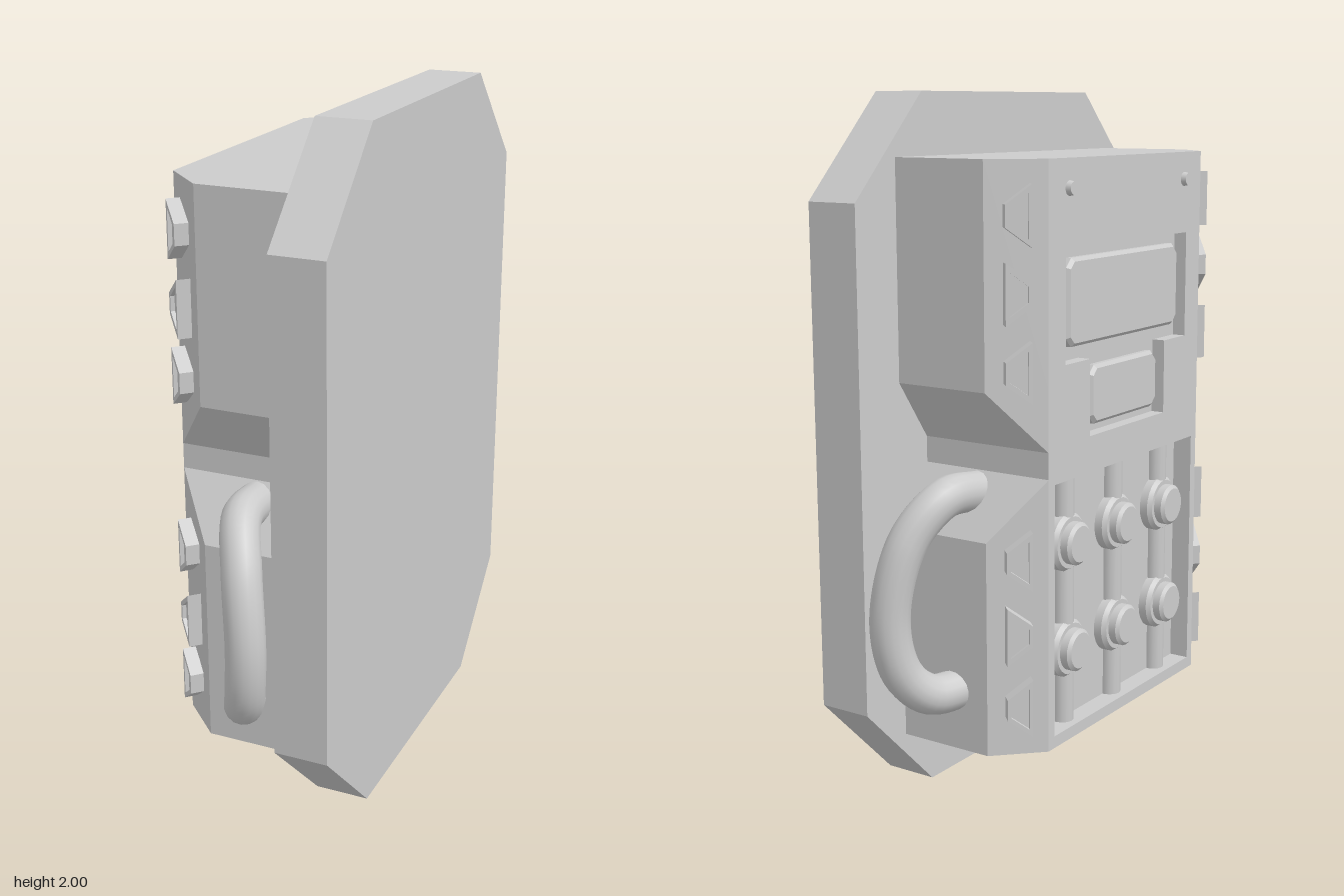
import * as THREE from 'three';
import { toCreasedNormals } from 'three/addons/utils/BufferGeometryUtils.js';

const grey = new THREE.MeshStandardMaterial({ color: 0xcccccc });
const greyFlat = new THREE.MeshStandardMaterial({ color: 0xcccccc, flatShading: true });

function add(parent, name, geometry, x = 0, y = 0, z = 0, material = grey) {
  const mesh = new THREE.Mesh(geometry, material);
  mesh.name = name;
  mesh.position.set(x, y, z);
  parent.add(mesh);
  return mesh;
}

const outline = (pts) => pts.map(([x, y]) => new THREE.Vector2(x, y));
const rect = (w, y0, y1) => [[-w, y0], [w, y0], [w, y1], [-w, y1]];

function slab(pts, depth, holes = [], bevel = 0) {
  const shape = new THREE.Shape(outline(pts));
  holes.forEach((h) => shape.holes.push(new THREE.Path(outline(h))));
  return new THREE.ExtrudeGeometry(shape, {
    depth, bevelEnabled: bevel > 0, bevelSize: bevel, bevelThickness: bevel,
    bevelOffset: -bevel, bevelSegments: 1,
  });
}

// Rectangle with cut corners
function cutRect(w, y0, y1, c, d = c) {
  return [[-w + c, y0], [w - c, y0], [w, y0 + d], [w, y1 - d],
    [w - c, y1], [-w + c, y1], [-w, y1 - d], [-w, y0 + d]];
}

// Housing shell: chamfered sections stacked in y, pinched at the waist
function housingGeometry() {
  const levels = [[0.18, 0.54], [0.795, 0.54], [0.965, 0.42], [1.04, 0.42], [1.21, 0.54], [1.825, 0.54]];
  const rings = levels.map(([y, w]) => {
    const xb = -0.16 - ((0.54 - w) / 0.12) * 0.125;
    return [[0.13, w], [xb, w], [-0.285, 0.42], [-0.285, -0.42], [xb, -w], [0.13, -w]]
      .map(([x, z]) => [x, y, z]);
  });
  const pos = [];
  const tri = (a, b, c) => pos.push(...a, ...b, ...c);
  for (let i = 0; i < rings.length - 1; i++) {
    const lo = rings[i], hi = rings[i + 1];
    for (const j of [0, 1, 3, 4]) {
      tri(lo[j], hi[j], hi[j + 1]);
      tri(lo[j], hi[j + 1], lo[j + 1]);
    }
  }
  const bottom = rings[0], top = rings[rings.length - 1];
  for (let j = 1; j < 5; j++) {
    tri(bottom[0], bottom[j], bottom[j + 1]);
    tri(top[0], top[j + 1], top[j]);
  }
  const g = new THREE.BufferGeometry();
  g.setAttribute('position', new THREE.Float32BufferAttribute(pos, 3));
  g.computeVertexNormals();
  return g;
}

// Trapezoid whose wide end lies on the side given by dir
function trapezoid(dir, s) {
  const t = 0.036 * s * dir, wide = 0.083 * s, narrow = 0.03 * s;
  const pts = [[t, -wide], [t, wide], [-t, narrow], [-t, -narrow]];
  return dir > 0 ? pts : pts.reverse();
}

export function createModel() {
  const model = new THREE.Group();
  model.name = 'controlBox';

  // Octagonal mounting plate
  const plate = add(model, 'mountingPlate', slab(cutRect(0.71, 0, 2, 0.29), 0.16), 0.29);
  plate.rotation.y = -Math.PI / 2;

  add(model, 'housing', housingGeometry(), 0, 0, 0, greyFlat);

  // Front panel: local x runs along z, local z points out of the panel
  const front = new THREE.Group();
  front.name = 'frontPanel';
  front.position.x = -0.225;
  front.rotation.y = -Math.PI / 2;
  model.add(front);

  const displayRecess = [[-0.21, 1.05], [0.21, 1.05], [0.21, 1.27], [0.336, 1.27],
    [0.336, 1.585], [-0.336, 1.585], [-0.336, 1.27], [-0.21, 1.27]];
  add(front, 'panelFace', slab(rect(0.42, 0.18, 1.825), 0.06,
    [displayRecess, rect(0.39, 0.215, 0.945)]));
  add(front, 'controlRecessFloor', new THREE.BoxGeometry(0.82, 0.76, 0.01), 0, 0.58, -0.005);
  add(front, 'displayRecessFloor', new THREE.BoxGeometry(0.72, 0.57, 0.02), 0, 1.32, 0.01);
  add(front, 'mainDisplay', slab(cutRect(0.305, 1.31, 1.555, 0.025), 0.015, [], 0.01), 0, 0, 0.025);
  add(front, 'smallDisplay', slab(cutRect(0.185, 1.075, 1.245, 0.025), 0.015, [], 0.01), 0, 0, 0.025);

  // Screws above the display
  for (const s of [-1, 1]) {
    add(front, 'screw', new THREE.CylinderGeometry(0.018, 0.022, 0.02, 16), s * 0.318, 1.745, 0.065)
      .rotation.x = Math.PI / 2;
  }

  // Vertical rods, each carrying two knobs
  const knob = toCreasedNormals(new THREE.LatheGeometry(outline([[0.085, 0], [0.085, 0.025], [0.075, 0.037],
    [0.062, 0.037], [0.062, 0.06], [0.052, 0.069], [0, 0.069]]), 24), 0.5);
  for (const x of [-0.265, 0, 0.265]) {
    add(front, 'rod', new THREE.CylinderGeometry(0.033, 0.033, 0.74, 12), x, 0.58, 0.005);
    for (const y of [0.75, 0.435]) add(front, 'knob', knob, x, y, 0).rotation.x = Math.PI / 2;
  }

  for (const side of [1, -1]) {
    // Trapezoid lugs on the chamfers, alternating in direction
    const chamfer = new THREE.Group();
    chamfer.name = 'chamferLugs';
    chamfer.position.set(-0.2225, 0, side * 0.48);
    chamfer.rotation.y = side > 0 ? -Math.PI / 4 : (-3 * Math.PI) / 4;
    model.add(chamfer);
    [1.68, 1.475, 1.265, 0.745, 0.535, 0.325].forEach((y, i) => {
      const dir = (i % 3 === 1 ? 1 : -1) * side;
      add(chamfer, 'lugFrame', slab(trapezoid(dir, 1), 0.04, [trapezoid(dir, 0.72)]), 0, y, 0);
      add(chamfer, 'lugInset', slab(trapezoid(dir, 0.74), 0.028), 0, y, 0);
    });

    // Bowed carrying handle
    const path = new THREE.CatmullRomCurve3([[-0.05, 0.905, 0.42], [-0.033, 0.907, 0.56], [0.015, 0.80, 0.66],
      [0.045, 0.59, 0.705], [0.027, 0.43, 0.68], [-0.012, 0.355, 0.61], [-0.05, 0.35, 0.5]]
      .map(([x, y, z]) => new THREE.Vector3(x, y, z * side)));
    add(model, 'handle', new THREE.TubeGeometry(path, 48, 0.057, 16));
  }
  return model;
}
